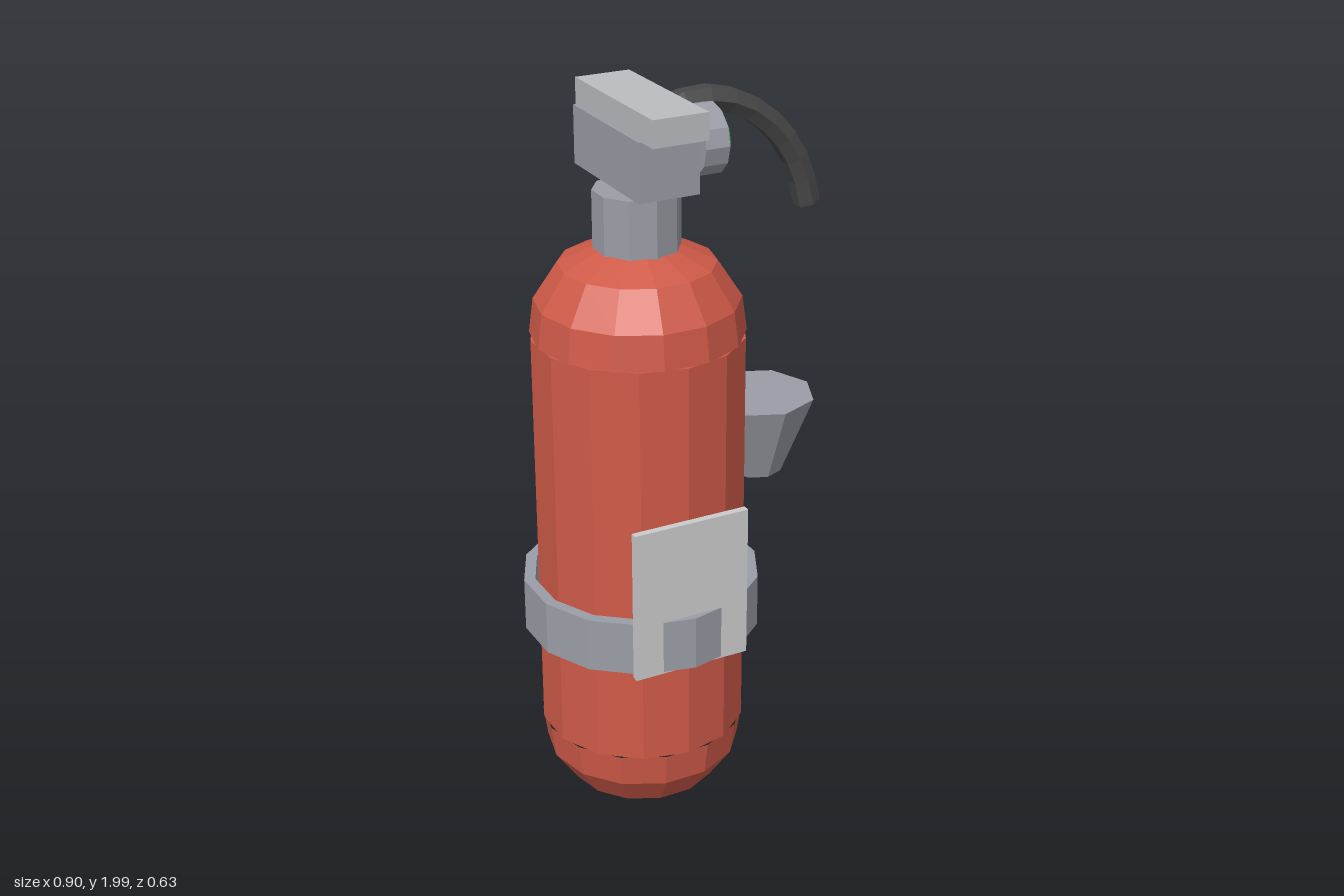
import * as THREE from 'three';

const CX = -0.15; // axis of the tank

function material(color) {
  return new THREE.MeshStandardMaterial({ color, flatShading: true });
}

export function createModel() {
  const model = new THREE.Group();
  model.name = 'fireExtinguisher';

  const red = material(0xcf5a48);
  const steel = material(0x9a9da6);
  const lightSteel = material(0xbabcc0);
  const white = material(0xdcdcdc);
  const rubber = material(0x484848);
  const green = material(0x45905c);

  function add(name, geometry, mat, x = 0, y = 0, z = 0) {
    const mesh = new THREE.Mesh(geometry, mat);
    mesh.name = name;
    mesh.position.set(x, y, z);
    model.add(mesh);
    return mesh;
  }
  const lathe = (points, start) => new THREE.LatheGeometry(
    points.map(([r, y]) => new THREE.Vector2(r, y)), 14, start);
  // box given by its limits on each axis
  function box(name, mat, [x0, x1], [y0, y1], [z0, z1]) {
    return add(name, new THREE.BoxGeometry(x1 - x0, y1 - y0, z1 - z0), mat,
      (x0 + x1) / 2, (y0 + y1) / 2, (z0 + z1) / 2);
  }

  // Tank: straight barrel, with domes turned half a facet against it
  add('tankBarrel', new THREE.CylinderGeometry(0.275, 0.275, 1.105, 14), red, CX, 0.8325);
  const dome = [[0, 0], [0.2, 0.09], [0.262, 0.18], [0.274, 0.272]];
  add('tankBottom', lathe(dome, Math.PI / 2), red, CX, 0.008);
  const upper = [[0.274, 1.385], [0.262, 1.475], [0.2, 1.57], [0.1, 1.615], [0, 1.65]];
  add('tankShoulder', lathe(upper, Math.PI / 2), red, CX);

  // Strap around the tank, standing slightly clear of it
  const strap = [[0.285, 0.71], [0.285, 0.565], [0.315, 0.565], [0.315, 0.71], [0.285, 0.71]];
  add('strap', lathe(strap, 0), steel, CX);

  // Label plate, with the strap's front corner poking through
  box('labelPlate', white, [-0.31, 0.008], [0.56, 0.975], [0.277, 0.296]);

  // Neck, valve block and lever
  add('neck', new THREE.CylinderGeometry(0.111, 0.111, 0.15, 10), steel, CX, 1.685);
  box('valveBlock', steel, [-0.232, -0.07], [1.783, 1.932], [-0.18, 0.18]);
  box('lever', lightSteel, [-0.225, -0.078], [1.932, 2], [-0.18, 0.24]);

  // Pressure gauge facing +x
  const gauge = add('gaugeCase', new THREE.CylinderGeometry(0.09, 0.09, 0.066, 12), steel, 0.028, 1.857, 0);
  const dial = add('gaugeDial', new THREE.CylinderGeometry(0.065, 0.065, 0.016, 12), green, 0.068, 1.857, 0);
  gauge.rotation.z = dial.rotation.z = -Math.PI / 2;

  // Hose arching to the model's left, with closed ends
  const path = new THREE.CatmullRomCurve3([
    [-0.18, 1.775], [-0.08, 1.855], [0, 1.9], [0.1, 1.918], [0.22, 1.885],
    [0.32, 1.805], [0.385, 1.7], [0.414, 1.598],
  ].map(([x, y]) => new THREE.Vector3(x, y, -0.132)));
  add('hose', new THREE.TubeGeometry(path, 12, 0.036, 6), rubber);
  for (const t of [0, 1]) {
    const cap = add('hoseEnd', new THREE.CircleGeometry(0.035, 6), rubber);
    cap.position.copy(path.getPoint(t));
    cap.lookAt(cap.position.clone().addScaledVector(path.getTangent(t), t ? 1 : -1));
  }

  // Discharge horn, wide end up
  add('horn', new THREE.CylinderGeometry(0.16, 0.072, 0.225, 8), steel, 0.27, 0.9625, -0.13);

  return model;
}
